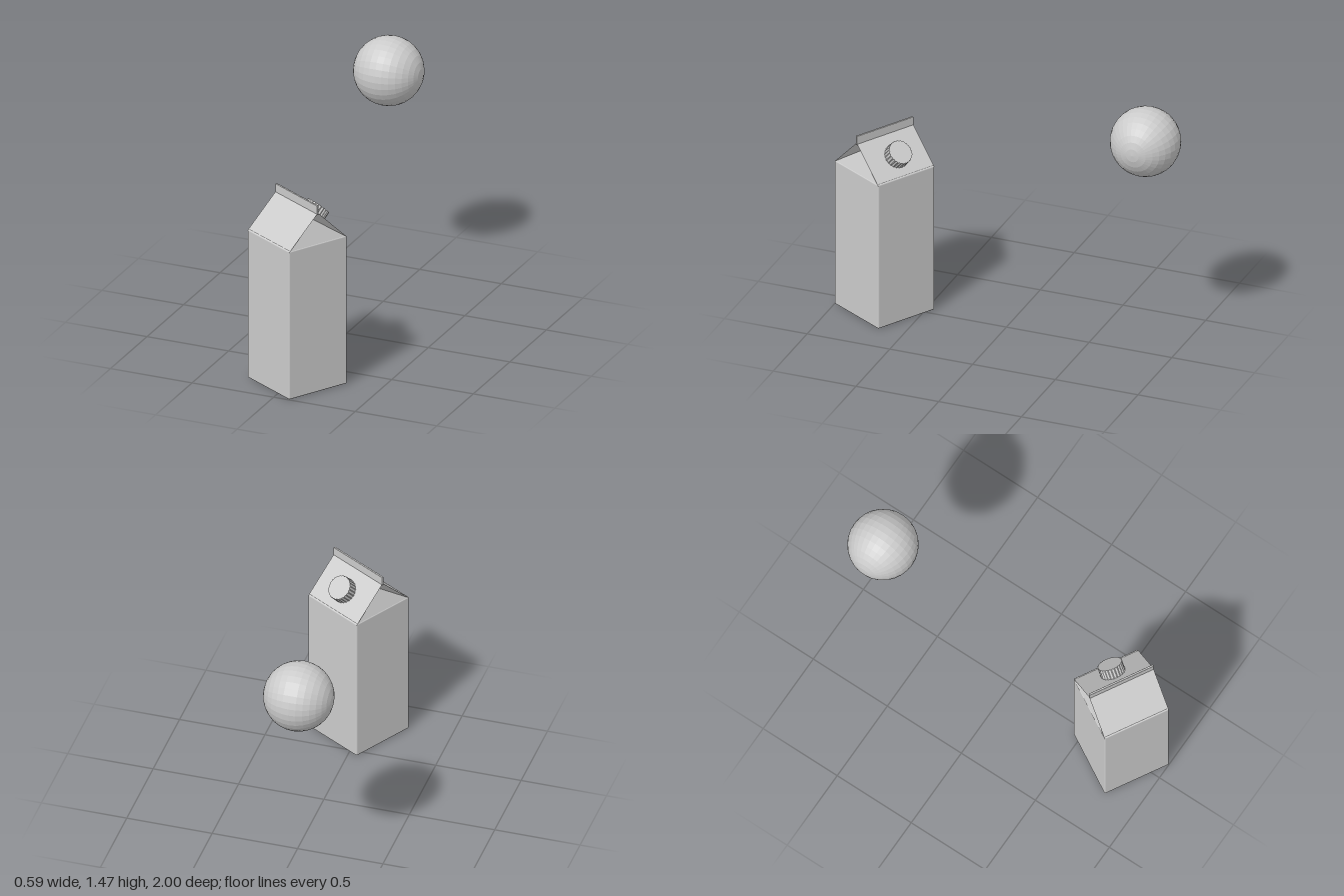
import * as THREE from 'three';
import { RoundedBoxGeometry } from 'three/addons/geometries/RoundedBoxGeometry.js';
import { mergeGeometries } from 'three/addons/utils/BufferGeometryUtils.js';

const HALF = 0.2, EAVE = 0.893, RIDGE = 1.08, TOP = 1.13, FIN = 0.006;

// Half of the gable top: one sloping panel and one folded-in end
function roofHalf() {
  const e = HALF - 0.001;
  const A = [-e, EAVE, e], B = [e, EAVE, e], Bb = [e, EAVE, -e];
  const C = [e, RIDGE, FIN], D = [-e, RIDGE, FIN], Cb = [e, RIDGE, -FIN];
  const P = [0.142, 1.03, 0];
  const tris = [
    A, B, C, A, C, D, // sloping panel
    B, Bb, P, // gable triangle
    B, P, C, Bb, Cb, P, P, Cb, C, // fold up to the ridge
  ];
  const g = new THREE.BufferGeometry();
  g.setAttribute('position', new THREE.Float32BufferAttribute(tris.flat(), 3));
  g.computeVertexNormals();
  return g;
}

// Ribbed screw cap, axis along y, base at y = 0
function capGeometry(r, h, ribs) {
  const shape = new THREE.Shape();
  for (let i = 0; i < ribs * 4; i++) {
    const a = (i / (ribs * 4)) * Math.PI * 2;
    const rad = i % 4 < 2 ? r : r * 0.955;
    shape[i ? 'lineTo' : 'moveTo'](Math.cos(a) * rad, Math.sin(a) * rad);
  }
  const g = new THREE.ExtrudeGeometry(shape, { depth: h, bevelEnabled: false });
  return g.rotateX(-Math.PI / 2);
}

export function createModel() {
  const model = new THREE.Group();
  const smooth = new THREE.MeshStandardMaterial({ color: 0xcccccc });
  const flat = new THREE.MeshStandardMaterial({ color: 0xcccccc, flatShading: true });
  const folded = new THREE.MeshStandardMaterial({ color: 0xcccccc, flatShading: true, side: THREE.DoubleSide });

  const add = (parent, name, geometry, material) => {
    const mesh = new THREE.Mesh(geometry, material);
    mesh.name = name;
    parent.add(mesh);
    return mesh;
  };

  // Carton, turned about the vertical axis
  const carton = new THREE.Group();
  carton.name = 'carton';
  carton.position.set(0.022, 0, 0.727);
  carton.rotation.y = -Math.PI / 6;
  model.add(carton);

  add(carton, 'cartonBody', new RoundedBoxGeometry(HALF * 2, 0.9, HALF * 2, 3, 0.008), smooth)
    .position.y = 0.45;
  add(carton, 'gableTop', mergeGeometries([roofHalf(), roofHalf().rotateY(Math.PI)]), folded);

  // Sealed strip along the ridge
  const finH = TOP - RIDGE + 0.004;
  add(carton, 'ridgeSeal', new RoundedBoxGeometry(HALF * 2, finH, FIN * 2, 2, 0.003), smooth)
    .position.y = TOP - finH / 2;

  // Cap standing square to the rear slope
  const slope = Math.atan2(RIDGE - EAVE, HALF - FIN);
  const cap = add(carton, 'cap', capGeometry(0.072, 0.062, 24), flat);
  cap.position.set(0, 0.982, -0.104);
  cap.rotation.x = -slope;

  // Ball, poles along x
  const ball = add(model, 'ball', new THREE.SphereGeometry(0.2, 32, 16), flat);
  ball.position.set(-0.1, 1.27, -0.8);
  ball.rotation.z = Math.PI / 2;

  return model;
}
